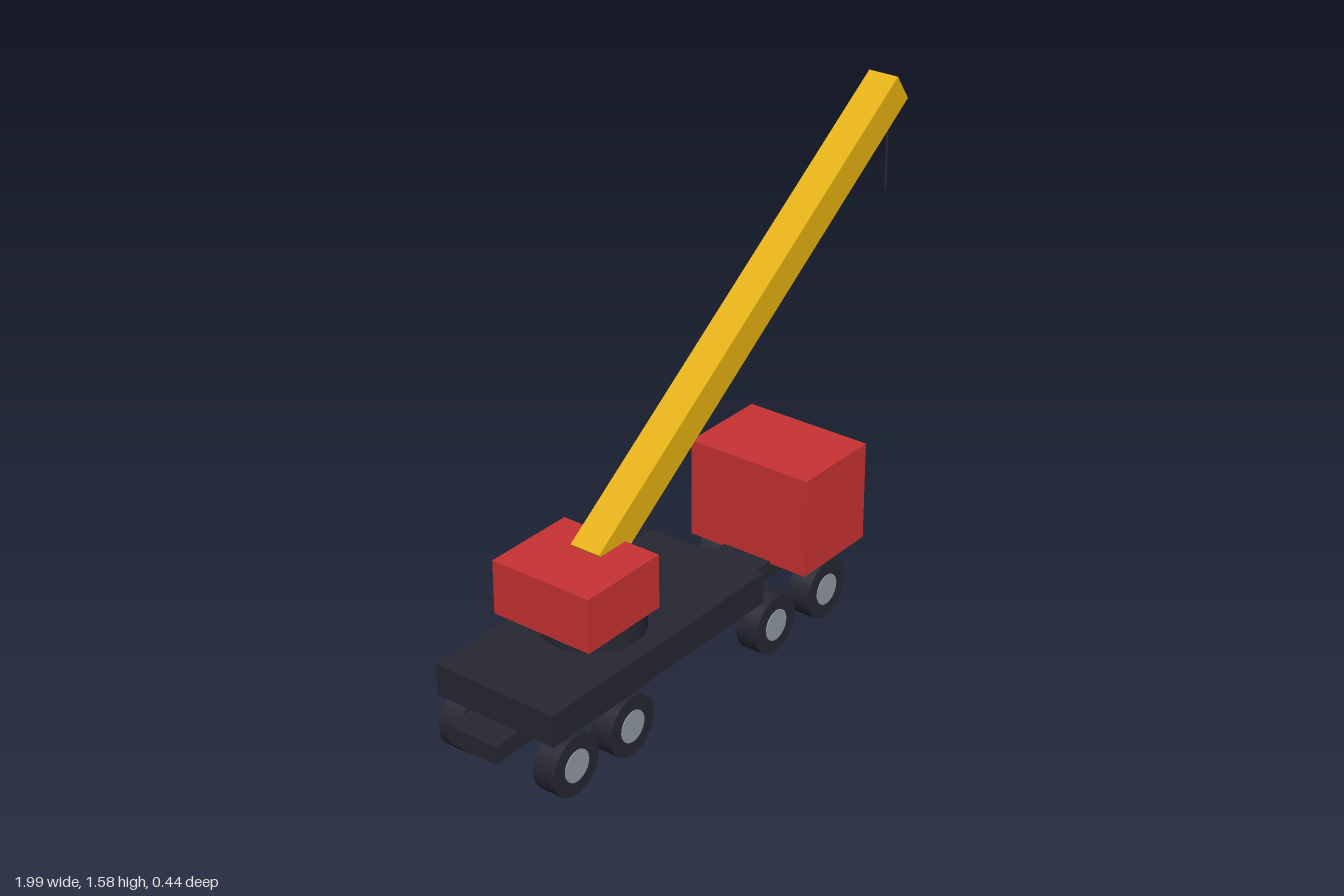
import * as THREE from 'three';

const mat = (name, color) => Object.assign(new THREE.MeshStandardMaterial({ color }), { name });

export function createModel() {
  const model = new THREE.Group();
  model.name = 'mobileCrane';
  const red = mat('red paint', 0xc83232);
  const dark = mat('dark steel', 0x262731);
  const yellow = mat('boom yellow', 0xe6b010);
  const grey = mat('hub grey', 0x9098a0);
  const glass = mat('window blue', 0x78aed0);

  const add = (name, geometry, material, x, y, z, parent = model) => {
    const mesh = new THREE.Mesh(geometry, material);
    mesh.name = name;
    mesh.position.set(x, y, z);
    parent.add(mesh);
    return mesh;
  };
  // Box given by its x and y limits and its full depth, centred on z = 0
  const box = (name, material, x0, x1, y0, y1, depth) =>
    add(name, new THREE.BoxGeometry(x1 - x0, y1 - y0, depth), material, (x0 + x1) / 2, (y0 + y1) / 2, 0);

  // Carrier
  box('chassisBeam', dark, -1, 0.578, 0.15, 0.208, 0.175);
  box('deck', dark, -0.905, 0.06, 0.207, 0.31, 0.43);
  box('cab', red, 0.266, 0.578, 0.2, 0.53, 0.438);
  box('windshield', glass, 0.577, 0.585, 0.36, 0.505, 0.378);

  // Slewing upper works
  add('turntable', new THREE.CylinderGeometry(0.158, 0.158, 0.09, 32), dark, -0.473, 0.354, 0);
  box('craneHouse', red, -0.7, -0.388, 0.392, 0.566, 0.35);

  // Raised boom and hanging cable
  const boom = add('boom', new THREE.BoxGeometry(1.758, 0.104, 0.105), yellow, 0.245, 1.034, 0);
  boom.rotation.z = THREE.MathUtils.degToRad(35);
  add('cable', new THREE.CylinderGeometry(0.004, 0.004, 0.35, 8), dark, 0.967, 1.365, 0);

  // Four wheels on each side, with hubs showing on both faces
  const tyreGeometry = new THREE.CylinderGeometry(0.097, 0.097, 0.076, 32).rotateX(Math.PI / 2);
  const hubGeometry = new THREE.CylinderGeometry(0.051, 0.051, 0.082, 24).rotateX(Math.PI / 2);
  for (const x of [-0.81, -0.564, 0.125, 0.389]) {
    for (const side of [-1, 1]) {
      const wheel = new THREE.Group();
      wheel.name = 'wheel';
      wheel.position.set(x, 0.097, side * 0.177);
      add('tyre', tyreGeometry, dark, 0, 0, 0, wheel);
      add('hub', hubGeometry, grey, 0, 0, 0, wheel);
      model.add(wheel);
    }
  }
  return model;
}
